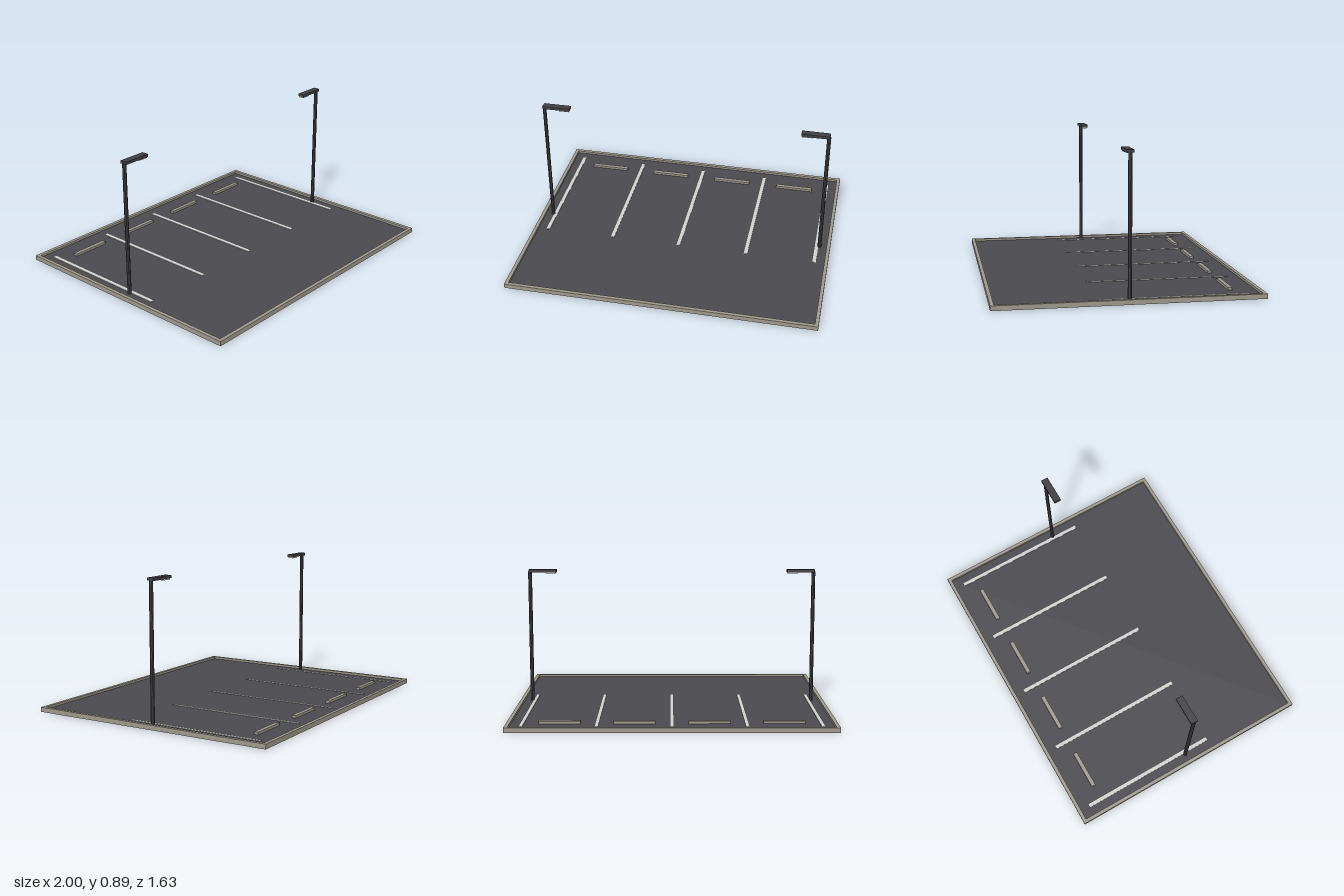
import * as THREE from 'three';

const mat = (name, color, flatShading = false) => {
  const m = new THREE.MeshStandardMaterial({ color, flatShading });
  m.name = name;
  return m;
};

export function createModel() {
  const asphalt = mat('asphalt', 0x4a494e);
  const concrete = mat('concrete', 0x9e998c);
  const paint = mat('line paint', 0xd2d2ce);
  const metal = mat('dark metal', 0x414145, true);
  const glow = mat('lamp lens', 0xd6d4d2);

  const lot = new THREE.Group();
  lot.name = 'parkingLot';

  const add = (parent, name, geometry, material, x, y, z) => {
    const mesh = new THREE.Mesh(geometry, material);
    mesh.name = name;
    mesh.position.set(x, y, z);
    parent.add(mesh);
    return mesh;
  };
  const box = (w, h, d) => new THREE.BoxGeometry(w, h, d);

  // Ground slab
  const W = 2, D = 1.63, curb = 0.023, curbH = 0.03, ground = 0.015;
  add(lot, 'ground', box(W - 2 * curb, ground - 0.001, D - 2 * curb), asphalt, 0, ground / 2 + 0.0005, 0);

  // Curb frame around the slab
  const frame = new THREE.Shape();
  const rect = (path, w, d) => path.moveTo(-w, -d).lineTo(w, -d).lineTo(w, d).lineTo(-w, d).closePath();
  rect(frame, W / 2, D / 2);
  const hole = new THREE.Path();
  rect(hole, W / 2 - curb, D / 2 - curb);
  frame.holes.push(hole);
  const frameGeo = new THREE.ExtrudeGeometry(frame, { depth: curbH, bevelEnabled: false });
  frameGeo.rotateX(-Math.PI / 2);
  add(lot, 'curb', frameGeo, concrete, 0, 0, 0);

  // Bay lines, with a wheel stop between each pair
  const pitch = 0.455;
  for (let i = -2; i <= 2; i++) {
    add(lot, 'bayLine', box(0.023, 0.003, 0.91), paint, i * pitch, ground + 0.0015, -0.275);
    if (i < 2) {
      add(lot, 'wheelStop', box(0.255, 0.016, 0.027), concrete, (i + 0.5) * pitch, ground + 0.008, -0.64);
    }
  }

  // Mirrored lamp posts with arms reaching inward
  for (const side of [-1, 1]) {
    const lamp = new THREE.Group();
    lamp.name = side > 0 ? 'leftLampPost' : 'rightLampPost';
    add(lamp, 'pole', new THREE.CylinderGeometry(0.0125, 0.0125, 0.874, 8), metal, side * 0.928, 0.438, 0);
    add(lamp, 'lampArm', box(0.18, 0.018, 0.045), metal, side * 0.845, 0.881, 0);
    add(lamp, 'lampLens', box(0.065, 0.008, 0.032), glow, side * 0.791, 0.868, 0);
    lot.add(lamp);
  }

  return lot;
}
